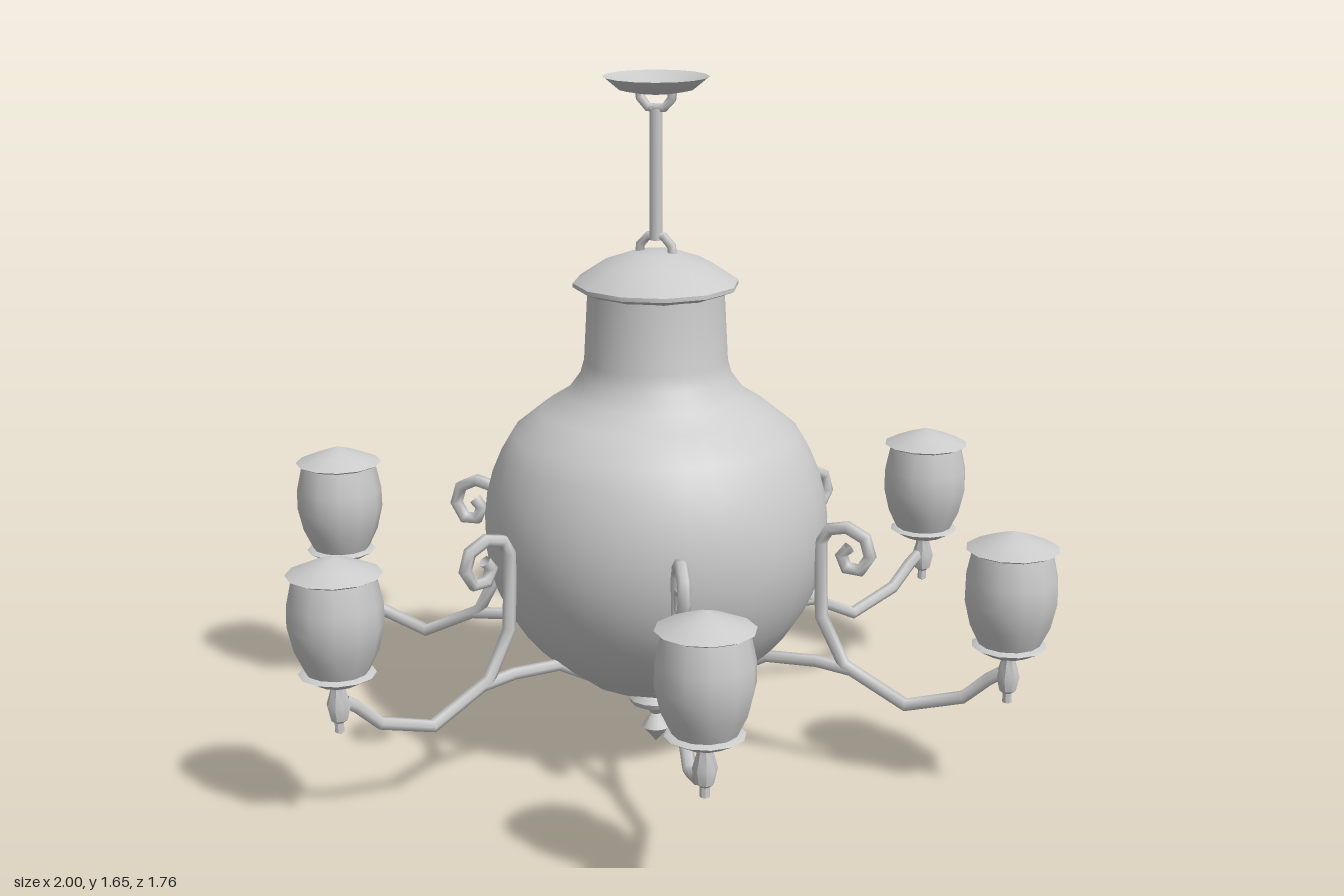
import * as THREE from 'three';
import { toCreasedNormals } from 'three/addons/utils/BufferGeometryUtils.js';

const material = new THREE.MeshStandardMaterial({ color: 0xcccccc, side: THREE.DoubleSide });

// Polyline curve whose tube keeps its corners at the given points
class Polyline extends THREE.Curve {
  constructor(points) {
    super();
    this.points = points.map(([x, y]) => new THREE.Vector3(x, y, 0));
  }
  getUtoTmapping(u) { return u; }
  getPoint(t, target = new THREE.Vector3()) {
    const n = this.points.length - 1;
    const i = Math.min(Math.floor(t * n + 1e-9), n - 1);
    return target.lerpVectors(this.points[i], this.points[i + 1], t * n - i);
  }
}

function addMesh(parent, name, geometry) {
  const mesh = new THREE.Mesh(geometry, material);
  mesh.name = name;
  parent.add(mesh);
  return mesh;
}

// Turned part from [radius, height] pairs, bottom to top
function turned(parent, name, profile, sides, crease = 0.6) {
  const points = profile.map(([r, y]) => new THREE.Vector2(r, y));
  return addMesh(parent, name, toCreasedNormals(new THREE.LatheGeometry(points, sides), crease));
}

function bentTube(parent, name, points, radius) {
  return addMesh(parent, name, new THREE.TubeGeometry(new Polyline(points), points.length - 1, radius, 6));
}

function createLamp() {
  const lamp = new THREE.Group();
  lamp.name = 'lamp';
  turned(lamp, 'lampFinial', [[0, 0.24], [0.011, 0.245], [0.011, 0.268], [0.02, 0.275], [0.028, 0.31],
    [0.018, 0.345], [0.02, 0.37]], 8);
  turned(lamp, 'lampSaucer', [[0, 0.362], [0.05, 0.365], [0.088, 0.386], [0.075, 0.392], [0, 0.392]], 12);
  turned(lamp, 'lampShade', [[0.07, 0.388], [0.095, 0.44], [0.109, 0.5], [0.108, 0.55], [0.093, 0.62]], 12);
  turned(lamp, 'lampCap', [[0.09, 0.612], [0.109, 0.621], [0.06, 0.642], [0, 0.663]], 12);
  lamp.position.x = 0.89;
  return lamp;
}

function createArm() {
  const arm = new THREE.Group();
  arm.name = 'arm';
  // Main sweep from the lamp, up the body and round into a scroll
  bentTube(arm, 'armScroll', [[0.875, 0.315], [0.845, 0.295], [0.785, 0.24], [0.645, 0.198], [0.49, 0.275],
    [0.43, 0.39], [0.425, 0.575], [0.445, 0.61], [0.49, 0.62], [0.535, 0.598], [0.548, 0.555],
    [0.525, 0.518], [0.49, 0.52], [0.477, 0.55], [0.495, 0.57]], 0.016);
  // Lower branch to the base plate
  bentTube(arm, 'armBranch', [[0.51, 0.265], [0.42, 0.275], [0.29, 0.268], [0.18, 0.208]], 0.015);
  arm.add(createLamp());
  return arm;
}

export function createModel() {
  const model = new THREE.Group();
  model.name = 'chandelier';

  // Round body flowing into the neck
  const bodyProfile = [];
  for (let i = 0; i <= 12; i++) {
    const a = THREE.MathUtils.lerp(-1.07, 0.6, i / 12);
    bodyProfile.push([0.417 * Math.cos(a), 0.57 + 0.417 * Math.sin(a)]);
  }
  bodyProfile.push([0.275, 0.862], [0.215, 0.9], [0.182, 0.945], [0.172, 0.98], [0.163, 1.15]);
  turned(model, 'body', bodyProfile, 32, 1);

  // Base plate and hanging finial
  turned(model, 'basePlate', [[0.07, 0.15], [0.13, 0.165], [0.18, 0.185], [0.205, 0.207], [0.19, 0.213], [0, 0.213]], 16);
  turned(model, 'baseFinial', [[0, 0], [0.035, 0.04], [0.013, 0.075], [0.025, 0.09], [0.062, 0.105],
    [0.068, 0.118], [0.05, 0.14], [0.072, 0.162]], 12);

  // Neck cap
  turned(model, 'neckCap', [[0.16, 1.145], [0.198, 1.16], [0.198, 1.17], [0.13, 1.215], [0.06, 1.24], [0, 1.246]], 12);

  // Rod with a stirrup at each end
  const rod = addMesh(model, 'rod', new THREE.CylinderGeometry(0.016, 0.016, 0.31, 8));
  rod.position.y = 1.425;
  const stirrup = [[-0.042, 0], [-0.04, 0.02], [-0.02, 0.042], [0.02, 0.042], [0.04, 0.02], [0.042, 0]];
  bentTube(model, 'lowerStirrup', stirrup, 0.011).position.y = 1.237;
  const upper = bentTube(model, 'upperStirrup', stirrup, 0.011);
  upper.position.y = 1.624;
  upper.rotation.z = Math.PI;

  // Ceiling dish, hollow on top
  turned(model, 'ceilingDish', [[0, 1.618], [0.05, 1.618], [0.09, 1.626], [0.125, 1.655], [0.085, 1.638],
    [0.045, 1.628], [0, 1.625]], 16);

  // Six arms with lamps
  for (let i = 0; i < 6; i++) {
    const arm = createArm();
    arm.rotation.y = (i * Math.PI) / 3;
    model.add(arm);
  }
  return model;
}
